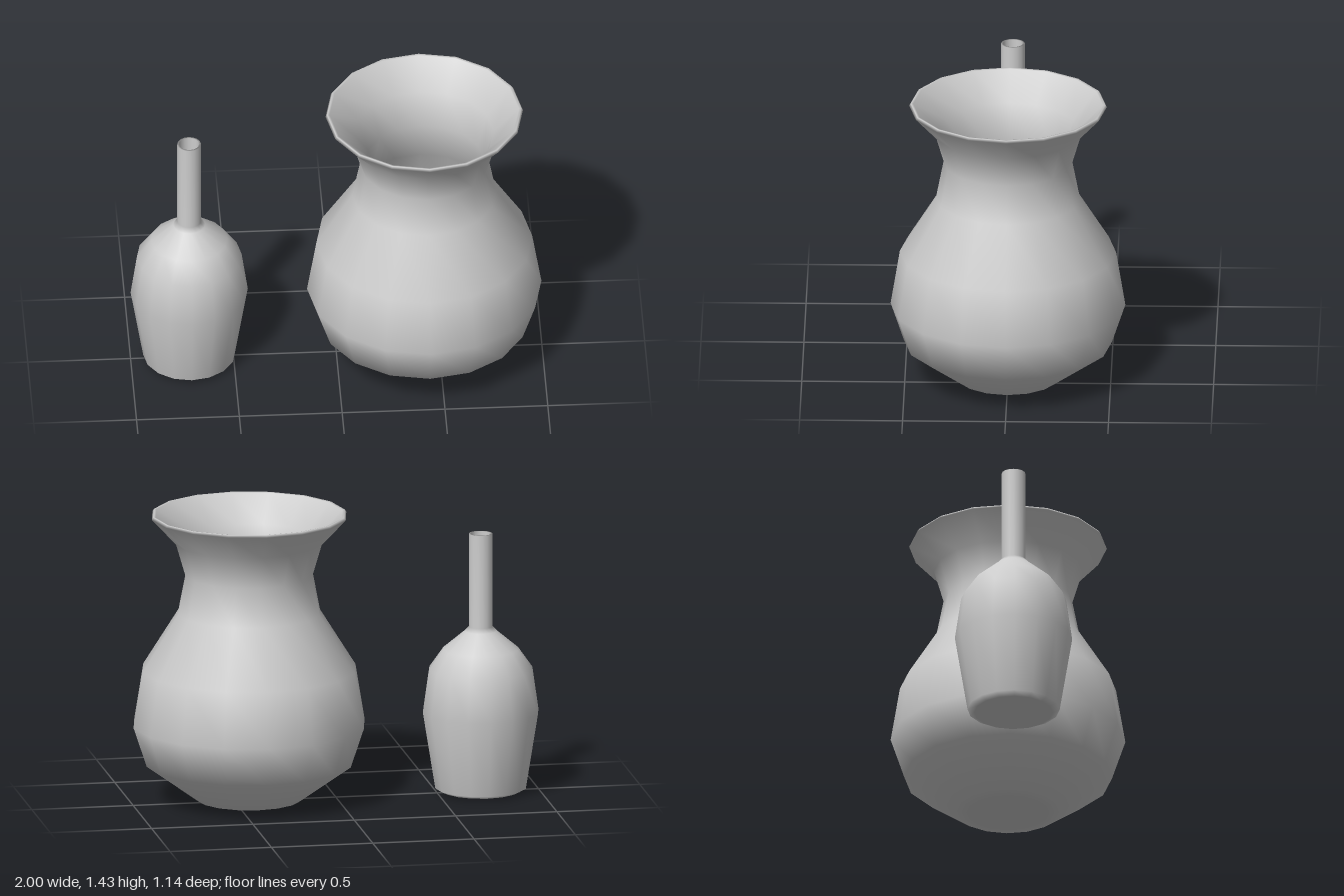
import * as THREE from 'three';

const SIDES = 16;

// Hollow vessel: outer wall from the base up, over the rim, then down the inner wall.
function vessel(name, x, outer, inner) {
  const profile = [...outer, ...inner].map(([r, y]) => new THREE.Vector2(r, y));
  const mesh = new THREE.Mesh(
    new THREE.LatheGeometry(profile, SIDES),
    new THREE.MeshStandardMaterial({ color: 0xcccccc, side: THREE.DoubleSide })
  );
  mesh.name = name;
  mesh.position.x = x;
  return mesh;
}

export function createModel() {
  const group = new THREE.Group();
  group.name = 'vases';

  // Wide vase with a flared mouth
  group.add(vessel('wideVase', 0.428,
    [[0, 0], [0.19, 0], [0.255, 0.01], [0.505, 0.19], [0.57, 0.385], [0.525, 0.66],
      [0.35, 0.94], [0.313, 1.13], [0.36, 1.29], [0.48, 1.42], [0.472, 1.432]],
    [[0.46, 1.43], [0.338, 1.3], [0.29, 1.13], [0.328, 0.93], [0.502, 0.65],
      [0.546, 0.39], [0.486, 0.205], [0.25, 0.035], [0, 0.03]]));

  // Slim bottle vase with a narrow straight neck
  group.add(vessel('bottleVase', -0.715,
    [[0, 0.005], [0.19, 0.005], [0.224, 0.022], [0.285, 0.4], [0.255, 0.61], [0.185, 0.71],
      [0.078, 0.8], [0.058, 0.822], [0.058, 1.284]],
    [[0.048, 1.284], [0.048, 0.815], [0.068, 0.788], [0.175, 0.698], [0.243, 0.602],
      [0.272, 0.4], [0.212, 0.035], [0, 0.025]]));

  return group;
}
